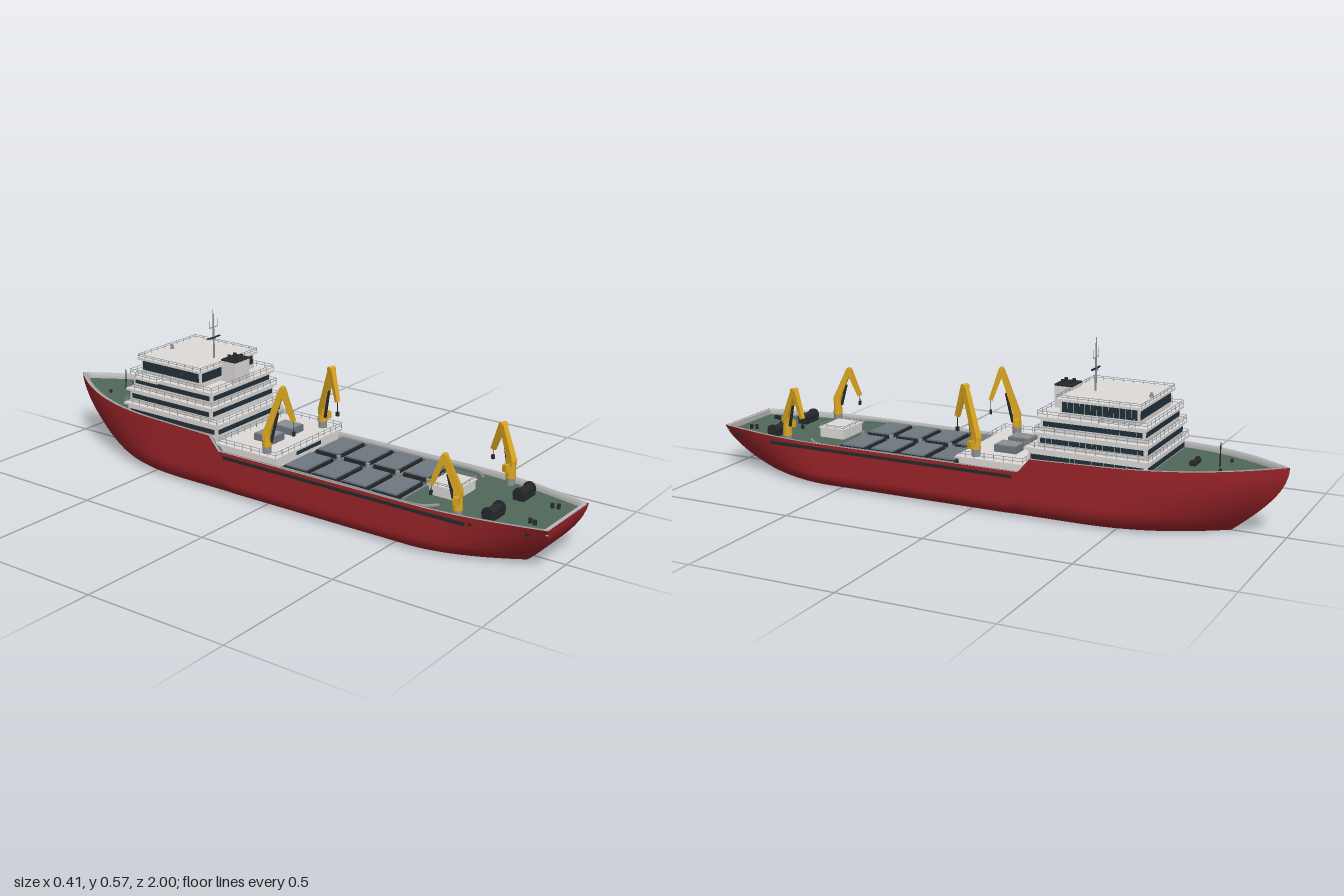
import * as THREE from 'three';

const mat = (color, side = THREE.FrontSide) => new THREE.MeshStandardMaterial({ color, side });
const RED = mat(0x9b2429, THREE.DoubleSide), GREEN = mat(0x50685a, THREE.DoubleSide);
const RIM = mat(0xb8b8b8, THREE.DoubleSide), WHITE = mat(0xdddad8), YELLOW = mat(0xd9a520);
const GLASS = mat(0x22303a), HATCH = mat(0x6f7880), DARK = mat(0x26292c), STEEL = mat(0x8a9094);

// Hull rules: half breadth and rail height along the nominal length
const breadth = z => {
  if (z > 0.6) return 0.2 - 0.068 * ((z - 0.6) / 0.4) ** 1.6;
  return z < -0.45 ? 0.2 * Math.max(0, 1 - ((-z - 0.45) / 0.55) ** 2.3) : 0.2;
};
const railY = z => z > -0.185 ? 0.155 : z > -0.215 ? 0.155 + 0.047 * (-0.185 - z) / 0.03
  : 0.202 + 0.022 * (-0.215 - z) / 0.785;

// Surface through rows of points
function loft(rows) {
  const n = rows[0].length, index = [];
  for (let i = 0; i < rows.length - 1; i++) for (let j = 0; j < n - 1; j++) {
    const a = i * n + j, b = a + n;
    index.push(a, b, a + 1, b, b + 1, a + 1);
  }
  const g = new THREE.BufferGeometry();
  g.setAttribute('position', new THREE.Float32BufferAttribute(rows.flat(2), 3));
  g.setIndex(index);
  g.computeVertexNormals();
  return g;
}

export function createModel() {
  const root = new THREE.Group();
  const add = (parent, name, geo, m, x = 0, y = 0, z = 0) => {
    const mesh = new THREE.Mesh(geo, m);
    mesh.name = name;
    mesh.position.set(x, y, z);
    parent.add(mesh);
    return mesh;
  };
  const group = (name, parent = root) => {
    const g = new THREE.Group();
    g.name = name;
    parent.add(g);
    return g;
  };
  // Box by size, resting on y
  const box = (p, name, m, w, h, d, x, y, z) =>
    add(p, name, new THREE.BoxGeometry(w, h, d), m, x, y + h / 2, z);
  const post = (p, name, m, r, h, x, y, z, r2 = r, sides = 10) =>
    add(p, name, new THREE.CylinderGeometry(r2, r, h, sides), m, x, y + h / 2, z);
  // Square or round member between two points
  const beam = (p, name, m, a, b, w, d = w, w2 = w, sides = 4) => {
    const A = new THREE.Vector3(...a), B = new THREE.Vector3(...b), dir = B.clone().sub(A);
    const g = new THREE.CylinderGeometry(w2 * 0.707, w * 0.707, dir.length(), sides);
    if (sides === 4) g.rotateY(Math.PI / 4);
    const mesh = add(p, name, sides === 4 ? g.toNonIndexed() : g, m);
    if (sides === 4) mesh.geometry.computeVertexNormals();
    mesh.scale.z = d / w;
    mesh.position.copy(A.add(B).multiplyScalar(0.5));
    mesh.quaternion.setFromUnitVectors(new THREE.Vector3(0, 1, 0), dir.normalize());
    return mesh;
  };
  // Rectangular guard rail
  const rail = (p, hw, z0, z1, y, h = 0.018, x = 0) => {
    const g = group('guardRail', p), c = [[x - hw, z0], [x + hw, z0], [x + hw, z1], [x - hw, z1]];
    c.forEach(([ax, az], i) => {
      const [bx, bz] = c[(i + 1) % 4], n = Math.max(1, Math.round(Math.hypot(bx - ax, bz - az) / 0.035));
      for (const k of [0.5, 1]) beam(g, 'railBar', STEEL, [ax, y + h * k, az], [bx, y + h * k, bz], 0.0013);
      for (let j = 0; j < n; j++)
        box(g, 'railPost', STEEL, 0.0013, h, 0.0013, ax + (bx - ax) * j / n, y, az + (bz - az) * j / n);
    });
  };

  // Hull skin: levels with rounded bilge, ends raked inward towards the keel
  const levels = [[0, 0], [0, 0.4]];
  for (let i = 0; i <= 8; i++) {
    const a = i / 8 * Math.PI / 2;
    levels.push([0.33 * (1 - Math.cos(a)), 0.75 + 0.25 * Math.sin(a)]);
  }
  for (let i = 1; i <= 6; i++) levels.push([0.33 + 0.67 * i / 6, 1]);
  const girth = [...levels.slice(1).reverse().map(([t, f]) => [t, -f]), ...levels];
  const N = 100;
  const station = i => girth.map(([t, f]) => {
    const u = i / N, z = 1 - 2 * u, k = Math.sin(t * Math.PI / 2);
    const zs = 0.89 + 0.11 * k, zb = -0.825 - 0.175 * k;
    const w = breadth(z) - 0.085 * (1 - t) * Math.max(0, 1 - u / 0.2) ** 2;
    return [f * w, t * railY(z), zs + (zb - zs) * u];
  });
  const hull = group('hull');
  add(hull, 'hullSkin', loft(Array.from({ length: N + 1 }, (_, i) => station(i))), RED);
  const stern = station(0), m = girth.length;
  add(hull, 'transom', loft(Array.from({ length: (m + 1) / 2 }, (_, i) => [stern[i], stern[m - 1 - i]])), RED);

  // Bulwark and deck
  const zs = Array.from({ length: N + 1 }, (_, i) => 1 - 2 * i / N);
  const inner = z => Math.max(0, breadth(z) - 0.01);
  for (const s of [-1, 1]) {
    add(hull, 'bulwark', loft(zs.map(z => [[s * breadth(z), railY(z), z],
      [s * inner(z), railY(z), z * 0.988], [s * inner(z), railY(z) - 0.02, z * 0.988]])), RIM);
    box(hull, 'rubbingStrake', DARK, 0.008, 0.01, 0.92, s * 0.2, 0.133, 0.3);
    for (const z of [0.94, 0.77]) {
      const port = post(hull, 'mooringPort', DARK, 0.005, 0.016, s * (breadth(z) - 0.003), 0.126, z);
      port.rotation.z = Math.PI / 2;
    }
  }
  add(hull, 'deck', loft(zs.map(z => [[-inner(z), railY(z) - 0.018, z * 0.99],
    [inner(z), railY(z) - 0.018, z * 0.99]])), GREEN);
  box(hull, 'sternBulwark', RIM, 0.25, 0.02, 0.011, 0, 0.1355, 0.992);

  // Cargo hatches, walkway vents and deck pipes
  const cargo = group('cargoDeck');
  for (const z of [0.11, 0.225, 0.34, 0.455]) {
    for (const x of [-0.09, 0.09]) {
      box(cargo, 'hatchCoaming', DARK, 0.15, 0.014, 0.095, x, 0.136, z);
      box(cargo, 'hatchCover', HATCH, 0.138, 0.006, 0.083, x, 0.149, z);
    }
    post(cargo, 'ventPost', STEEL, 0.008, 0.022, 0, 0.136, z + 0.057);
    box(cargo, 'crossPipe', STEEL, 0.3, 0.004, 0.004, 0, 0.14, z + 0.057);
  }
  for (const s of [-1, 1]) {
    const path = new THREE.CatmullRomCurve3([[0.175, 0.06], [0.175, 0.3], [0.175, 0.58], [0.165, 0.605], [0.135, 0.635]]
      .map(([x, z]) => new THREE.Vector3(s * x, 0.146, z)));
    add(cargo, 'deckPipe', new THREE.TubeGeometry(path, 30, 0.006, 8), STEEL);
  }

  // Small aft deckhouse, winches and bollards
  const aft = group('aftDeck');
  box(aft, 'aftDeckhouse', WHITE, 0.12, 0.034, 0.095, 0, 0.136, 0.6);
  box(aft, 'aftDeckhouseRoof', WHITE, 0.128, 0.005, 0.103, 0, 0.168, 0.6);
  rail(aft, 0.061, 0.552, 0.648, 0.173, 0.01);
  const winch = (p, x, y, z, r, len) => {
    box(p, 'winchBase', DARK, len, r * 0.6, r * 1.8, x, y, z);
    for (const [k, rr, l] of [[0, 0.75, 0.9], [-0.5, 1, 0.12], [0.5, 1, 0.12]]) {
      const drum = add(p, 'winchDrum', new THREE.CylinderGeometry(r * rr, r * rr, len * l, 20), DARK, x + k * len * 0.9, y + r, z);
      drum.rotation.z = Math.PI / 2;
    }
  };
  for (const s of [-1, 1]) {
    winch(aft, s * 0.095, 0.136, 0.8, 0.021, 0.075);
    for (const [x, z] of [[0.07, 0.91], [0.076, 0.928]]) post(aft, 'bollard', DARK, 0.006, 0.016, s * x, 0.136, z);
  }

  // Raised platform ahead of the house
  const plat = group('midPlatform');
  box(plat, 'platformBody', WHITE, 0.34, 0.035, 0.25, 0, 0.136, -0.08);
  box(plat, 'platformDeck', WHITE, 0.374, 0.007, 0.256, 0, 0.169, -0.077);
  for (let i = -5; i <= 5; i++) box(plat, 'platformWindow', GLASS, 0.011, 0.013, 0.003, i * 0.0125, 0.153, 0.045);
  rail(plat, 0.184, -0.19, 0.048, 0.176, 0.02);
  for (const x of [-0.053, 0.052]) {
    box(plat, 'platformHatch', HATCH, 0.064, 0.024, 0.08, x, 0.175, -0.08);
    box(plat, 'platformHatchLid', STEEL, 0.056, 0.003, 0.072, x, 0.199, -0.08);
  }

  // Accommodation tiers: bottom, top, half width, aft z, forward z, window centre and height
  const house = group('accommodation');
  [[0.15, 0.235, 0.176, -0.205, -0.605, 0.207, 0.016], [0.235, 0.285, 0.168, -0.235, -0.6, 0.261, 0.016],
    [0.285, 0.335, 0.158, -0.24, -0.59, 0.313, 0.016], [0.335, 0.395, 0.143, -0.3, -0.565, 0.371, 0.034],
  ].forEach(([y0, y1, hw, za, zf, wy, wh], i) => {
    const t = group(['lowerTier', 'secondTier', 'thirdTier', 'bridge'][i], house);
    const zc = (za + zf) / 2, len = za - zf;
    box(t, 'tierWalls', WHITE, hw * 2, y1 - y0, len, 0, y0, zc);
    box(t, 'tierDeck', WHITE, hw * 2 + 0.02, 0.008, len + 0.02, 0, y1 - 0.006, zc);
    const nx = Math.round(hw * 2 / 0.02), nz = Math.round(len / 0.02);
    for (let k = 0; k < nx; k++) for (const z of [za, zf])
      box(t, 'endWindow', GLASS, 0.0175, wh, 0.004, hw * 1.9 * ((k + 0.5) / nx - 0.5), wy - wh / 2, z);
    for (let k = 0; k < nz; k++) for (const s of [-1, 1])
      box(t, 'sideWindow', GLASS, 0.004, wh, 0.0175, s * hw, wy - wh / 2, zc + len * 0.95 * ((k + 0.5) / nz - 0.5));
    rail(t, hw + 0.008, za + 0.008, zf - 0.008, y1 + 0.002, i === 3 ? 0.012 : 0.018);
  });
  for (const s of [-1, 1]) {
    box(house, 'bridgeWing', WHITE, 0.055, 0.008, 0.1, s * 0.167, 0.333, -0.5);
    rail(house, 0.026, -0.45, -0.55, 0.341, 0.017, s * 0.168);
  }
  post(house, 'roofDome', STEEL, 0.008, 0.014, 0, 0.397, -0.55, 0.004);

  // Funnel with exhaust pipes
  const funnel = group('funnel');
  box(funnel, 'funnelCasing', WHITE, 0.078, 0.075, 0.06, 0, 0.335, -0.265);
  box(funnel, 'funnelCap', DARK, 0.08, 0.005, 0.062, 0, 0.409, -0.265);
  for (const x of [-0.015, 0.015]) for (const z of [-0.28, -0.252]) post(funnel, 'exhaustPipe', DARK, 0.006, 0.014, x, 0.412, z);

  // Masts
  const mast = group('mainMast');
  post(mast, 'mastPole', STEEL, 0.004, 0.155, 0, 0.397, -0.36, 0.002);
  box(mast, 'radarBar', DARK, 0.066, 0.004, 0.006, 0, 0.468, -0.36);
  box(mast, 'radarBase', STEEL, 0.012, 0.005, 0.012, 0, 0.463, -0.36);
  box(mast, 'yard', STEEL, 0.046, 0.0025, 0.0025, 0, 0.505, -0.36);
  for (const x of [-0.021, 0.021]) post(mast, 'whipAerial', STEEL, 0.0008, 0.027, x, 0.506, -0.36);
  for (const x of [-0.002, 0.002]) post(mast, 'topAerial', STEEL, 0.0007, 0.022, x, 0.549, -0.36);
  const fore = group('foreDeck');
  post(fore, 'foreMast', DARK, 0.003, 0.08, 0, 0.197, -0.78, 0.0015);
  winch(fore, 0, 0.194, -0.7, 0.011, 0.055);
  for (const s of [-1, 1]) post(fore, 'foreBollard', DARK, 0.005, 0.014, s * 0.06, 0.197, -0.8);

  // Knuckle-boom cranes: base, then elbow and tip as reach and height
  const crane = (name, x, y, z, tipX, tipZ, hinge, [r1, h1], [r2, h2], hookY) => {
    const c = group(name);
    c.position.set(x, 0, z);
    c.rotation.y = Math.atan2(tipX - x, tipZ - z);
    post(c, 'pedestal', STEEL, 0.015, 0.03, 0, y, 0, 0.015, 20);
    post(c, 'craneColumn', YELLOW, 0.0165, hinge - y - 0.025, 0, y + 0.025, 0, 0.0135, 20);
    box(c, 'craneHead', YELLOW, 0.024, 0.022, 0.026, 0, hinge - 0.012, 0);
    box(c, 'craneCab', YELLOW, 0.016, 0.024, 0.018, 0.022, hinge - 0.03, 0);
    beam(c, 'mainBoom', YELLOW, [0, hinge, -0.004], [0, h1, r1], 0.022, 0.024, 0.017);
    beam(c, 'jib', YELLOW, [0, h1 + 0.003, r1], [0, h2, r2], 0.018, 0.02, 0.013);
    beam(c, 'boomRam', DARK, [0, hinge - 0.02, 0.014], [0, hinge + (h1 - hinge) * 0.5, r1 * 0.5 + 0.012], 0.008, 0.008, 0.006, 10);
    const pin = add(c, 'elbowPin', new THREE.CylinderGeometry(0.009, 0.009, 0.024, 16), YELLOW, 0, h1, r1);
    pin.rotation.z = Math.PI / 2;
    beam(c, 'hoistWire', DARK, [0, h2, r2], [0, hookY, r2], 0.0016);
    box(c, 'hookBlock', DARK, 0.009, 0.014, 0.009, 0, hookY, r2);
  };
  for (const s of [-1, 1]) {
    crane('aftCrane', s * 0.162, 0.136, 0.715, s * 0.187, 0.635, 0.215, [0.044, 0.325], [0.083, 0.232], 0.198);
    crane('midCrane', s * 0.155, 0.175, -0.01, s * 0.122, 0.075, 0.235, [0.052, 0.398], [0.09, 0.292], 0.242);
  }
  return root;
}
